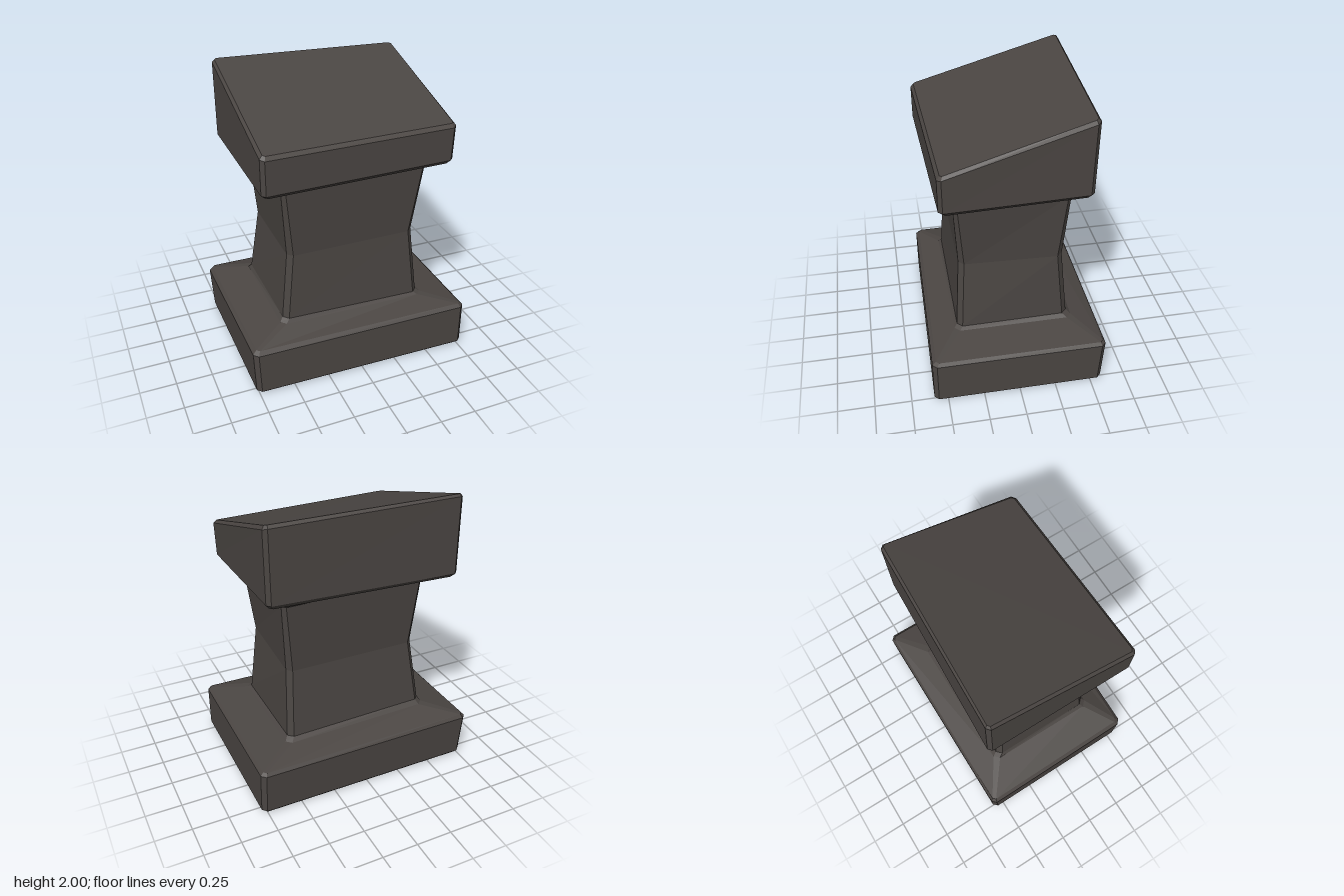
import * as THREE from 'three';

// Ring of 8 points: four corners (front -x, front +x, back +x, back -x), each cut by c
function ring(c, ...corners) {
  const p = corners.map(v => new THREE.Vector3(...v));
  const toward = (a, b) => a.clone().addScaledVector(b.clone().sub(a).normalize(), c);
  return p.flatMap((v, i) => [toward(v, p[(i + 3) % 4]), toward(v, p[(i + 1) % 4])]);
}

// Skin stacked rings from bottom to top, with optional end caps
function loft(name, rings, material, capBottom, capTop) {
  const pos = [];
  const tri = (...pts) => pts.forEach(p => pos.push(p.x, p.y, p.z));
  for (let r = 0; r < rings.length - 1; r++) {
    const a = rings[r], b = rings[r + 1];
    for (let i = 0; i < 8; i++) {
      const j = (i + 1) % 8;
      tri(a[i], a[j], b[j]);
      tri(a[i], b[j], b[i]);
    }
  }
  const first = rings[0], last = rings[rings.length - 1];
  for (let i = 1; i < 7; i++) {
    if (capBottom) tri(first[0], first[i + 1], first[i]);
    if (capTop) tri(last[0], last[i], last[i + 1]);
  }
  const geometry = new THREE.BufferGeometry();
  geometry.setAttribute('position', new THREE.Float32BufferAttribute(pos, 3));
  geometry.computeVertexNormals();
  const mesh = new THREE.Mesh(geometry, material);
  mesh.name = name;
  return mesh;
}

export function createModel() {
  const group = new THREE.Group();
  group.name = 'pedestal';
  const stone = new THREE.MeshStandardMaterial({ color: 0x4b4643 });
  stone.name = 'dark stone';
  stone.flatShading = true;

  // Rings where the shaft meets the plinth and the head
  const foot = ring(0.035, [-0.53, 0.405, 0.41], [0.53, 0.385, 0.41], [0.53, 0.385, -0.41], [-0.53, 0.405, -0.41]);
  const neck = ring(0.035, [-0.525, 1.42, 0.41], [0.54, 1.415, 0.41], [0.54, 1.415, -0.39], [-0.525, 1.42, -0.39]);

  // Plinth: slightly irregular block with bevelled edges and sloping top
  group.add(loft('plinth', [
    ring(0.025, [-0.745, 0, 0.55], [0.765, 0, 0.575], [0.765, 0, -0.56], [-0.755, 0, -0.56]),
    ring(0.03, [-0.765, 0.02, 0.57], [0.785, 0.02, 0.595], [0.785, 0.02, -0.578], [-0.775, 0.02, -0.578]),
    ring(0.03, [-0.775, 0.32, 0.57], [0.785, 0.32, 0.595], [0.785, 0.32, -0.595], [-0.79, 0.32, -0.595]),
    ring(0.02, [-0.75, 0.345, 0.545], [0.765, 0.34, 0.57], [0.765, 0.34, -0.578], [-0.768, 0.345, -0.578]),
    foot,
  ], stone, true, false));

  // Shaft: pinched at the middle
  group.add(loft('shaft', [
    foot,
    ring(0.035, [-0.505, 0.43, 0.39], [0.505, 0.4, 0.39], [0.505, 0.41, -0.38], [-0.515, 0.435, -0.38]),
    ring(0.035, [-0.455, 0.9, 0.365], [0.455, 0.9, 0.36], [0.482, 0.9, -0.335], [-0.455, 0.9, -0.335]),
    ring(0.025, [-0.495, 1.395, 0.395], [0.515, 1.39, 0.39], [0.515, 1.39, -0.368], [-0.495, 1.395, -0.368]),
    neck,
  ], stone, false, false));

  // Head: block with a top sloping down toward the front
  group.add(loft('head', [
    neck,
    ring(0.02, [-0.635, 1.43, 0.512], [0.635, 1.425, 0.465], [0.625, 1.445, -0.45], [-0.635, 1.435, -0.505]),
    ring(0.025, [-0.66, 1.455, 0.535], [0.66, 1.455, 0.49], [0.65, 1.475, -0.47], [-0.66, 1.46, -0.525]),
    ring(0.025, [-0.66, 1.685, 0.535], [0.668, 1.68, 0.49], [0.655, 1.965, -0.475], [-0.66, 1.985, -0.525]),
    ring(0.015, [-0.64, 1.71, 0.515], [0.648, 1.705, 0.47], [0.64, 1.985, -0.458], [-0.643, 2.0, -0.51]),
  ], stone, false, true));

  return group;
}
